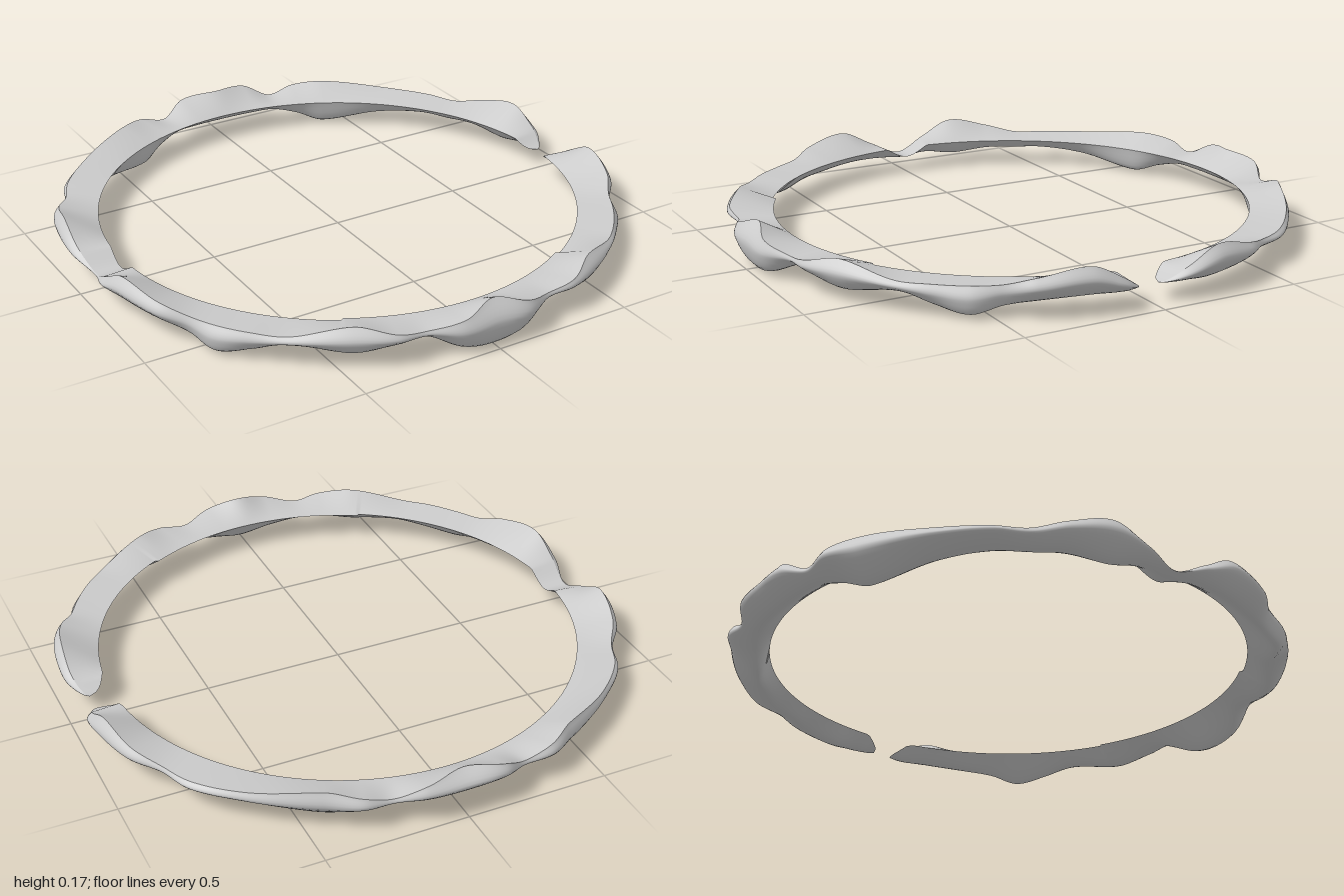
import * as THREE from 'three';

// Key sections from the front (0 deg) round to the back (180 deg):
// angle, top edge radius, top edge height, widest radius, belly radius, belly height
const KEYS = [
  [0, 0.95, 0.163, 0.998, 0.95, 0.0],
  [7, 0.985, 0.13, 1.0, 0.95, 0.02],
  [14, 0.965, 0.105, 0.966, 0.91, 0.065],
  [20, 0.99, 0.12, 0.995, 0.93, 0.06],
  [28, 0.968, 0.145, 0.998, 0.94, 0.04],
  [40, 0.98, 0.11, 0.99, 0.92, 0.06],
  [47, 0.98, 0.11, 0.99, 0.94, 0.035],
  [54, 0.975, 0.11, 0.995, 0.96, 0.015],
  [60, 0.97, 0.115, 0.975, 0.94, 0.04],
  [66, 0.985, 0.14, 1.0, 0.93, 0.05],
  [76, 0.975, 0.165, 1.0, 0.93, 0.058],
  [83, 0.96, 0.11, 0.98, 0.92, 0.055],
  [90, 0.94, 0.062, 0.942, 0.9, 0.052],
  [97, 0.96, 0.11, 0.98, 0.92, 0.055],
  [104, 0.975, 0.165, 1.0, 0.92, 0.042],
  [113, 0.985, 0.135, 1.0, 0.93, 0.055],
  [120, 0.97, 0.11, 0.972, 0.91, 0.06],
  [127, 0.985, 0.11, 0.995, 0.92, 0.06],
  [138, 0.98, 0.12, 0.985, 0.9, 0.05],
  [153, 0.97, 0.145, 0.98, 0.885, 0.012],
  [160, 0.985, 0.13, 0.995, 0.9, 0.045],
  [166, 0.965, 0.105, 0.966, 0.91, 0.065],
  [172, 0.985, 0.15, 0.998, 0.92, 0.062],
  [180, 0.95, 0.166, 1.0, 0.92, 0.06],
];

// Smooth interpolation of the key sections
function sectionAt(angle) {
  const last = KEYS.length - 1;
  let i = 0;
  while (i < last - 1 && angle > KEYS[i + 1][0]) i++;
  const a = KEYS[i], b = KEYS[i + 1], span = b[0] - a[0];
  const t = (angle - a[0]) / span;
  const slope = (k, c) => (k === 0 || k === last) ? 0
    : (KEYS[k + 1][c] - KEYS[k - 1][c]) / (KEYS[k + 1][0] - KEYS[k - 1][0]);
  const h = t * t * (3 - 2 * t);
  return [1, 2, 3, 4, 5].map((c) => a[c] + (b[c] - a[c]) * h
    + span * (slope(i, c) * t * (1 - t) ** 2 - slope(i + 1, c) * t * t * (1 - t)));
}

const START = 87.2, END = -268.2, STEPS = 720;

// Join rows of points into a smooth strip
function strip(name, rows, material) {
  const n = rows[0].length, index = [];
  for (let i = 0; i < rows.length - 1; i++) {
    for (let j = 0; j < n - 1; j++) {
      const a = i * n + j, b = a + 1, c = a + n, d = c + 1;
      index.push(a, c, b, b, c, d);
    }
  }
  const geometry = new THREE.BufferGeometry().setFromPoints(rows.flat());
  geometry.setIndex(index);
  geometry.computeVertexNormals();
  const mesh = new THREE.Mesh(geometry, material);
  mesh.name = name;
  return mesh;
}

export function createModel() {
  const material = new THREE.MeshStandardMaterial({ color: 0xcccccc, side: THREE.DoubleSide });
  const topRows = [], underRows = [];

  for (let i = 0; i <= STEPS; i++) {
    const deg = START + (END - START) * i / STEPS;
    const rad = THREE.MathUtils.degToRad(deg);
    const fold = THREE.MathUtils.radToDeg(Math.acos(THREE.MathUtils.clamp(Math.cos(rad), -1, 1)));
    const [rOut, yOut, rSide, rBelly, yBelly] = sectionAt(fold);

    // Open ends round off to a tip
    const d = Math.min(START - deg, deg - END, 6) / 6;
    const k = Math.sqrt(1 - (1 - d) ** 2);
    const place = (r, y) => {
      const rr = 0.915 + (r - 0.915) * k, yy = 0.06 + (y - 0.06) * k;
      return new THREE.Vector3(rr * Math.sin(rad), yy, rr * Math.cos(rad));
    };

    // Flat upper face, then rounded underside from outer to inner edge
    const rIn = fold < 30 ? 0.838 : 0.85, yIn = Math.min(0.1, yOut);
    const inner = new THREE.Vector2(rIn, yIn), outer = new THREE.Vector2(rOut, yOut);
    const top = [];
    for (let j = 0; j <= 6; j++) {
      const p = inner.clone().lerp(outer, j / 6);
      top.push(place(p.x, p.y));
    }
    topRows.push(top);
    const under = new THREE.SplineCurve([
      outer,
      new THREE.Vector2(rSide, yOut + (yBelly - yOut) * 0.45),
      new THREE.Vector2(rBelly, yBelly),
      inner,
    ]);
    underRows.push(under.getPoints(18).map((p) => place(p.x, Math.max(p.y, 0))));
  }

  const group = new THREE.Group();
  group.name = 'openWavyBangle';
  group.add(strip('upperFace', topRows, material), strip('roundedUnderside', underRows, material));
  return group;
}
